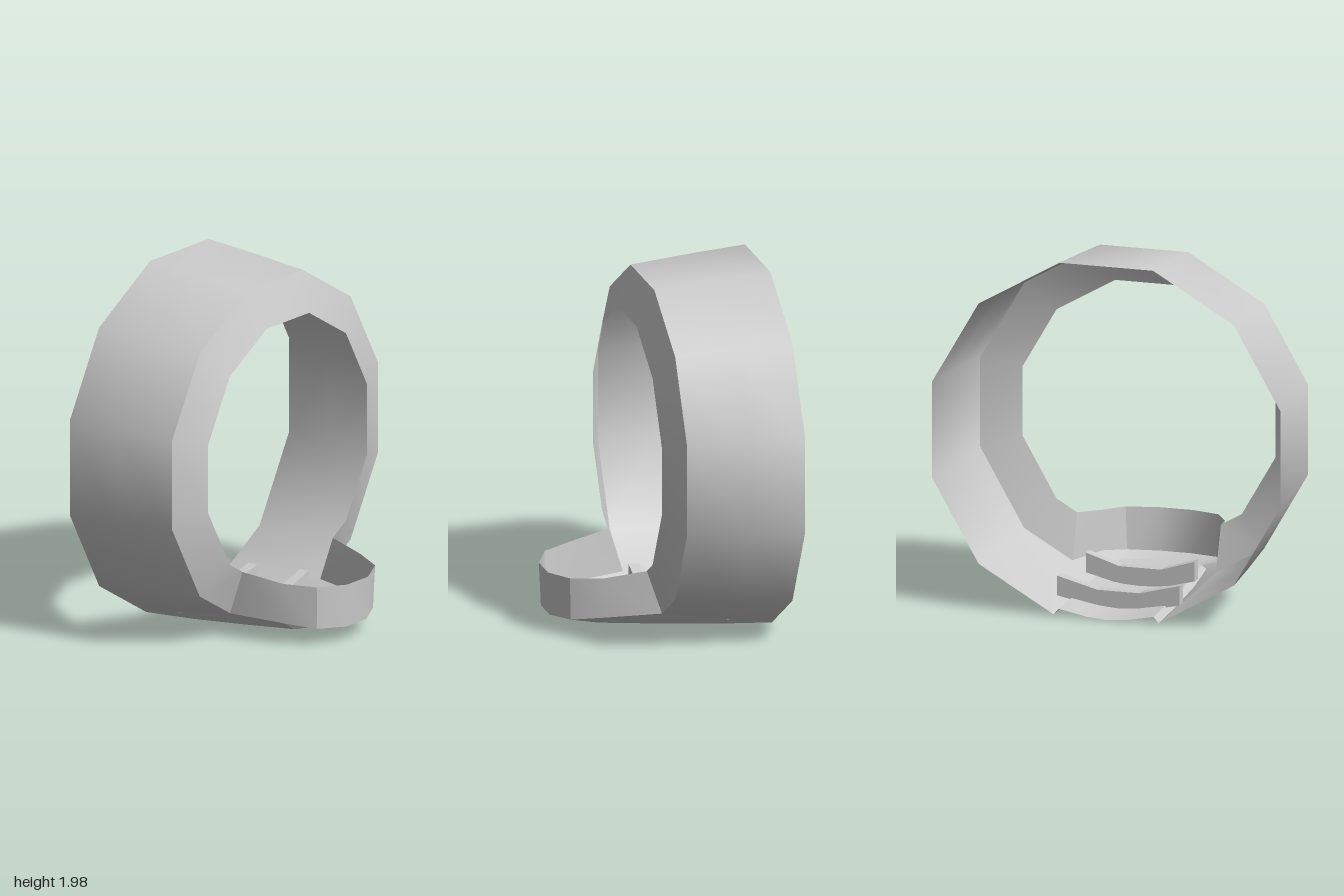
import * as THREE from 'three';
import { toCreasedNormals } from 'three/addons/utils/BufferGeometryUtils.js';

const CY = 0.992; // height of the ring axis
const sheetMat = new THREE.MeshStandardMaterial({ color: 0xcccccc, side: THREE.DoubleSide });

// Sheet through rows of points, all rows of equal length
function loft(name, rows) {
  const n = rows[0].length, index = [];
  for (let r = 0; r < rows.length - 1; r++) {
    for (let c = 0; c < n - 1; c++) {
      const a = r * n + c, b = a + 1, d = a + n, e = d + 1;
      index.push(a, d, b, b, d, e);
    }
  }
  const geo = new THREE.BufferGeometry();
  geo.setAttribute('position', new THREE.Float32BufferAttribute(rows.flat(2), 3));
  geo.setIndex(index);
  const mesh = new THREE.Mesh(toCreasedNormals(geo, 0.6), sheetMat);
  mesh.name = name;
  return mesh;
}

// Right half of a path followed by its mirrored left half
const mirror = (pts) => [...pts, ...pts.map(([x, y, z]) => [-x, y, z]).reverse()];

// Height of the lower slanted ring facet at a given x
const facetY = (apothem, x) => CY + (x * 0.5 - apothem) / Math.cos(Math.PI / 6);

// One twelve-sided ring section, left open at the bottom beyond x = cut
function ringSection([apothem, z, cut]) {
  const half = [[cut, facetY(apothem, cut), z]];
  const r = apothem / Math.cos(Math.PI / 12);
  for (let deg = -45; deg <= 75; deg += 30) {
    const a = THREE.MathUtils.degToRad(deg);
    half.push([r * Math.cos(a), CY + r * Math.sin(a), z]);
  }
  return mirror(half);
}

// Thin cross plate bent upward at both ends
function louvre(z, bottom, halfWidth) {
  const h = 0.11, mid = 0.12, rise = 0.06;
  const s = new THREE.Shape();
  s.moveTo(-halfWidth, rise);
  s.lineTo(-mid, 0.012);
  s.lineTo(0, 0);
  s.lineTo(mid, 0.012);
  s.lineTo(halfWidth, rise);
  s.lineTo(halfWidth, rise + h);
  s.lineTo(mid, h);
  s.lineTo(-mid, h);
  s.lineTo(-halfWidth, rise + h);
  const geo = new THREE.ExtrudeGeometry(s, { depth: 0.06, bevelEnabled: false });
  const mesh = new THREE.Mesh(geo, new THREE.MeshStandardMaterial({ color: 0xcccccc }));
  mesh.position.set(0, bottom, z - 0.03);
  mesh.name = 'louvre';
  return mesh;
}

export function createModel() {
  const model = new THREE.Group();
  model.name = 'engineCowling';

  // Cowl ring: inner lip, front edge, slightly flared body (apothem, z, bottom cut)
  const ring = [[0.722, 0.13, 0.41], [0.936, 0.045, 0.41], [0.97, -0.3, 0.35], [0.995, -0.6, 0.3]];
  model.add(loft('cowlRing', ring.map(ringSection)));

  // Chin scoop wall wrapping round the front
  const joinTop = [0.41, facetY(0.722, 0.41), 0.13];
  const joinBottom = [0.41, facetY(0.936, 0.41), 0.045];
  const wallBottom = [joinBottom, [0.345, 0.13, 0.36], [0.255, 0.105, 0.515], [0.09, 0.092, 0.59]];
  const wallTop = [joinTop, [0.355, 0.355, 0.36], [0.265, 0.342, 0.522], [0.095, 0.332, 0.6]];
  model.add(loft('scoopWall', [mirror(wallTop), mirror(wallBottom)]));

  // Scoop floor from the wall to the edge of the recess
  const back = [0.3, facetY(0.995, 0.3), -0.6];
  const midBack = [0.35, facetY(0.97, 0.35), -0.3];
  const floorOuter = [back, midBack, ...wallBottom];
  const recessOuter = [back, [0.293, 0.03, -0.3], [0.283, 0.055, 0.045],
    [0.25, 0.075, 0.36], [0.16, 0.07, 0.395], [0.08, 0.068, 0.425]];
  model.add(loft('scoopFloor', [mirror(floorOuter), mirror(recessOuter)]));

  // Short step up into the recess
  const recessInner = [[0.27, 0.05, -0.6], [0.265, 0.065, -0.3], [0.255, 0.085, 0.045],
    [0.228, 0.1, 0.345], [0.15, 0.095, 0.37], [0.07, 0.092, 0.395]];
  model.add(loft('recessStep', [mirror(recessOuter), mirror(recessInner)]));

  // Shallow curved bottom panel; the sag fades toward the front
  const sag = [0.04, 0.035, 0.025, 0.012, 0.005, 0];
  model.add(loft('bottomPanel', recessInner.map(([x, y, z], i) => {
    const half = [[x, y, z], [x * 0.4, y - sag[i] * 0.8, z]];
    return [half[0], half[1], [0, y - sag[i], z], ...mirror(half).slice(2)];
  })));

  // Two louvres across the bottom panel
  model.add(louvre(0.01, 0.046, 0.31), louvre(-0.365, 0.008, 0.35));
  return model;
}
